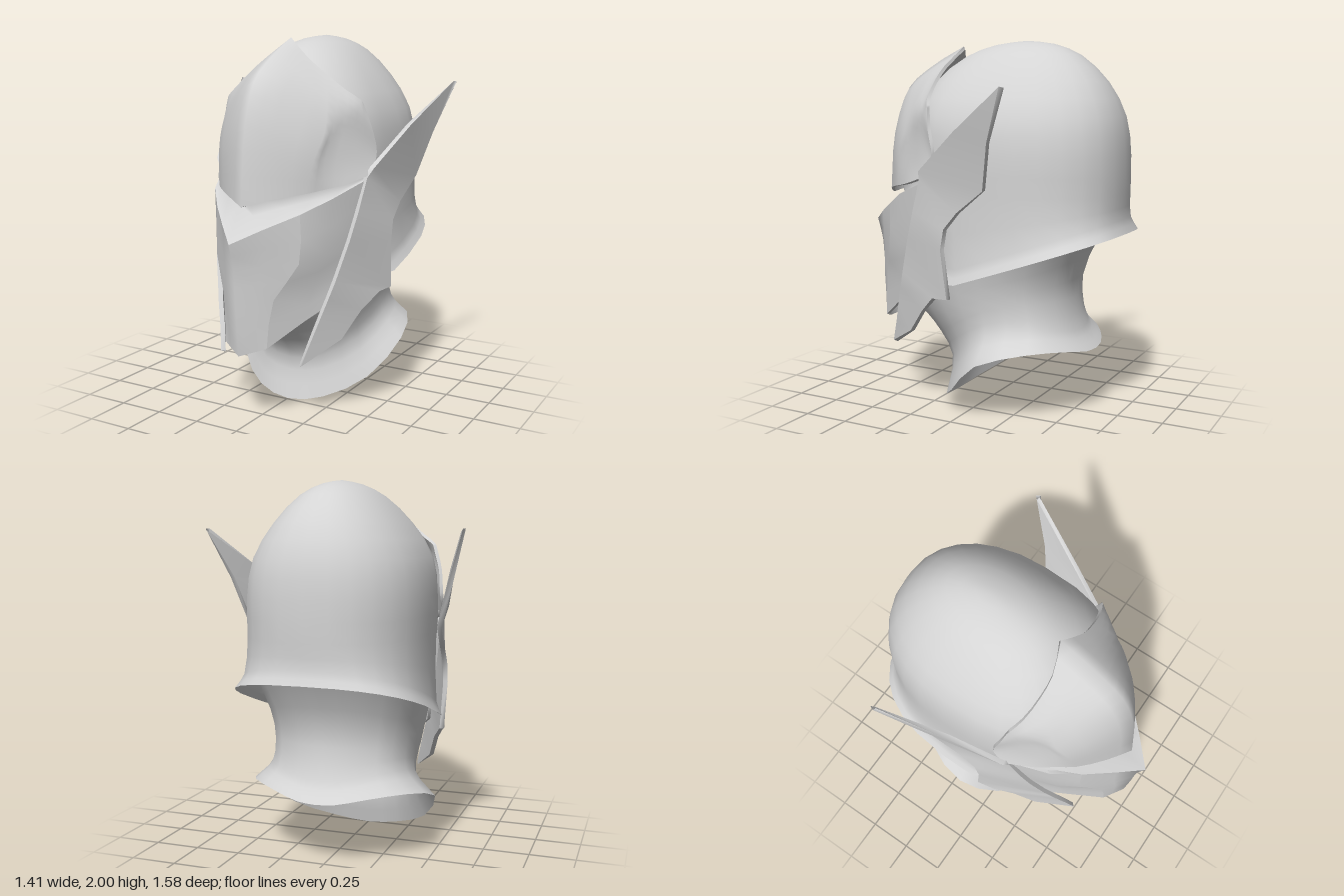
import * as THREE from 'three';
import { mergeVertices } from 'three/addons/utils/BufferGeometryUtils.js';

const V = (p) => new THREE.Vector3(...p);
const mirrored = (cols) => [
  ...cols.slice(1).reverse().map((c) => c.map((p) => new THREE.Vector3(-p.x, p.y, p.z))),
  ...cols,
];
const transpose = (rows) => rows[0].map((_, i) => rows.map((r) => r[i]));

// Resample a line of points as a smooth curve, or keep it as it is for n = 0
function resample(pts, n) {
  if (!n) return pts;
  const curve = new THREE.CatmullRomCurve3(pts);
  const count = (pts.length - 1) * n;
  return Array.from({ length: count + 1 }, (_, i) => curve.getPoint(i / count));
}

// Smooth columns of points along and across
const refine = (cols, n, m) =>
  transpose(transpose(cols.map((c) => resample(c, n))).map((r) => resample(r, m)));

// Indexed surface over a grid of columns
function surface(cols) {
  const rows = cols[0].length, idx = [];
  for (let i = 0; i < cols.length - 1; i++) {
    for (let j = 0; j < rows - 1; j++) {
      const a = i * rows + j, b = a + rows;
      idx.push(a, b, a + 1, b, b + 1, a + 1);
    }
  }
  let g = new THREE.BufferGeometry().setFromPoints(cols.flat());
  g.setIndex(idx);
  g = mergeVertices(g, 1e-4);
  g.computeVertexNormals();
  return g;
}

// Group of a surface, its inner side and the rim that joins them
function plate(name, cols, thick, material) {
  const group = new THREE.Group();
  group.name = name;
  const add = (part, c) => {
    const m = new THREE.Mesh(surface(c), material);
    m.name = part;
    group.add(m);
  };
  add(name + 'Surface', cols);
  if (!thick) return group;
  const at = (i, j) =>
    cols[THREE.MathUtils.clamp(i, 0, cols.length - 1)][THREE.MathUtils.clamp(j, 0, cols[0].length - 1)];
  const inner = cols.map((c, i) => c.map((p, j) => {
    const u = at(i + 1, j).clone().sub(at(i - 1, j));
    const v = at(i, j + 1).clone().sub(at(i, j - 1));
    return p.clone().addScaledVector(u.cross(v).normalize(), -thick);
  }));
  add(name + 'Inside', [...inner].reverse());
  const loop = (c) => [
    ...c.map((k) => k[0]),
    ...c[c.length - 1].slice(1),
    ...c.map((k) => k[k.length - 1]).reverse().slice(1),
    ...[...c[0]].reverse().slice(1),
  ];
  const a = loop(cols), b = loop(inner);
  add(name + 'Rim', a.map((p, i) => [b[i], p]));
  return group;
}

export function createModel() {
  const steel = new THREE.MeshStandardMaterial({ color: 0xd4d4d4, side: THREE.DoubleSide });
  steel.name = 'steel grey';
  const model = new THREE.Group();
  model.name = 'helmet';
  const points = (table) => table.map((r) => r.map(V));

  // Skull: rounded sections of height, half width, back z, front z and the
  // squareness of the back and front halves, flaring at the hem
  const hem = (z) => z < 0.08 ? 0.73 - 0.34 * z
    : THREE.MathUtils.lerp(0.703, 1.08, Math.min(1, (z - 0.08) / 0.22));
  const sections = [
    [0, 0.525, -0.79, 0.38, 2.7, 2.5], [0.08, 0.488, -0.762, 0.38, 2.5, 2.5],
    [1.2, 0.475, -0.765, 0.38, 2.3, 2.8], [1.4, 0.475, -0.765, 0.38, 2.3, 2.8],
    [1.6, 0.443, -0.74, 0.38, 2.25, 2.8], [1.78, 0.335, -0.65, 0.31, 2.2, 2.5],
    [1.92, 0.205, -0.505, 0.15, 2.1, 2.1], [1.98, 0.095, -0.36, -0.02, 2, 2], [2, 0, -0.2, -0.2, 2, 2],
  ];
  const rings = sections.map(([y, w, zb, zf, nb, nf], k) => {
    const ring = [];
    for (let i = 0; i <= 14; i++) {
      const a = (i / 14) * Math.PI, s = Math.sin(a), c = Math.cos(a);
      const e = 2 / (c < 0 ? nb : nf);
      const z = (zb + zf) / 2 + Math.sign(c) * Math.abs(c) ** e * (zf - zb) / 2;
      let x = i === 14 ? 0 : w * s ** e;
      if (k < 2) x *= 1 - 0.6 * Math.max(0, z);
      ring.push(new THREE.Vector3(x, k < 2 ? y + hem(z) : y, z));
    }
    return ring;
  });
  model.add(plate('skull', mirrored(refine(transpose(rings), 2, 0)), 0, steel));

  // Brow: peaked plate with a hollow at each temple, columns from centre to side
  const brow = points([
    [[0, 1.15, 0.68], [0, 1.55, 0.635], [0, 1.76, 0.55], [0, 1.885, 0.38], [0, 1.98, 0.19]],
    [[0.13, 1.185, 0.6], [0.13, 1.5, 0.57], [0.13, 1.7, 0.49], [0.13, 1.81, 0.36], [0.13, 1.875, 0.235]],
    [[0.26, 1.21, 0.49], [0.287, 1.38, 0.455], [0.312, 1.51, 0.39], [0.29, 1.67, 0.325], [0.23, 1.8, 0.235]],
    [[0.32, 1.225, 0.41], [0.315, 1.375, 0.39], [0.335, 1.5, 0.33], [0.37, 1.63, 0.255], [0.34, 1.715, 0.215]],
    [[0.39, 1.245, 0.32], [0.39, 1.36, 0.275], [0.395, 1.49, 0.24], [0.405, 1.6, 0.215], [0.41, 1.665, 0.185]],
    [[0.46, 1.28, 0.2], [0.472, 1.33, 0.155], [0.472, 1.4, 0.12], [0.455, 1.53, 0.15], [0.42, 1.645, 0.175]],
  ]);
  model.add(plate('brow', mirrored(refine(brow, 3, 2)), 0.018, steel));

  // Face mask: keeled plate narrowing to the chin, columns from centre to side
  const mask = points([
    [[0, 0.39, 0.72], [0, 0.65, 0.74], [0, 0.85, 0.755], [0, 0.98, 0.79]],
    [[0.08, 0.415, 0.675], [0.09, 0.67, 0.685], [0.11, 0.86, 0.67], [0.12, 1.045, 0.67]],
    [[0.125, 0.43, 0.65], [0.152, 0.68, 0.625], [0.25, 0.86, 0.54], [0.25, 1.11, 0.53]],
    [[0.25, 0.55, 0.48], [0.28, 0.72, 0.45], [0.33, 0.9, 0.42], [0.36, 1.18, 0.395]],
    [[0.355, 0.64, 0.33], [0.38, 0.8, 0.28], [0.41, 1.0, 0.25], [0.445, 1.255, 0.2]],
  ]);
  // The mouth panel and the cheeks meet at a sharp edge
  const fine = refine(mask, 2, 0);
  const cheek = fine.slice(2);
  model.add(plate('mouthPanel', mirrored(fine.slice(0, 3)), 0.018, steel));
  model.add(plate('leftCheek', cheek, 0.018, steel));
  model.add(plate('rightCheek', mirrored([[], ...cheek]).slice(0, 3), 0.018, steel));

  // Visor ledge: runs back from the mask's upper edge, then up behind the brow
  const fold = points([
    [[0, 1.09, 0.57], [0.13, 1.13, 0.5], [0.25, 1.165, 0.42], [0.36, 1.21, 0.31], [0.44, 1.27, 0.18]],
    [[0, 1.2, 0.6], [0.13, 1.22, 0.53], [0.25, 1.24, 0.44], [0.36, 1.265, 0.32], [0.44, 1.3, 0.17]],
  ]);
  const ledge = mask.map((c, i) => [c[3], fold[0][i], fold[1][i]]);
  model.add(plate('visorLedge', mirrored(ledge), 0, steel));

  // Cheek wings: swept plates between a front and a back edge, bottom to top
  const front = [
    [0.248, 0.32, 0.522], [0.285, 0.45, 0.475], [0.32, 0.57, 0.437], [0.345, 0.66, 0.405], [0.37, 0.75, 0.375],
    [0.415, 0.95, 0.31], [0.44, 1.1, 0.26], [0.46, 1.27, 0.205], [0.49, 1.32, 0.19], [0.58, 1.53, -0.07],
    [0.69, 1.75, -0.385],
  ];
  const rear = [
    [0.252, 0.32, 0.518], [0.38, 0.43, 0.32], [0.435, 0.565, 0.21], [0.495, 0.655, 0.11], [0.515, 0.66, 0.01],
    [0.525, 0.92, 0.04], [0.525, 1.03, 0.02], [0.53, 1.12, -0.06], [0.55, 1.24, -0.22], [0.62, 1.48, -0.28],
    [0.705, 1.75, -0.392],
  ];
  const wing = points([front, rear]);
  model.add(plate('leftWing', wing, 0.025, steel));
  model.add(plate('rightWing', mirrored([[], ...wing]).slice(0, 2), 0.025, steel));

  // Neck: flared collar, half rings from front to back, bottom to top
  const neck = points([
    [[0, 0, 0.24], [0.2, 0.035, 0.2], [0.4, 0.14, 0.05], [0.51, 0.325, -0.15], [0.43, 0.4, -0.41], [0.25, 0.39, -0.55], [0.1, 0.365, -0.61], [0, 0.36, -0.62]],
    [[0, 0.23, 0.2], [0.18, 0.26, 0.17], [0.33, 0.35, 0.03], [0.395, 0.46, -0.15], [0.34, 0.5, -0.38], [0.2, 0.48, -0.49], [0.09, 0.463, -0.53], [0, 0.46, -0.54]],
    [[0, 0.4, 0.33], [0.2, 0.45, 0.28], [0.36, 0.55, 0.1], [0.4, 0.65, -0.12], [0.34, 0.7, -0.35], [0.2, 0.72, -0.46], [0.09, 0.728, -0.495], [0, 0.73, -0.5]],
    [[0, 0.51, 0.58], [0.2, 0.6, 0.45], [0.38, 0.75, 0.2], [0.44, 0.85, -0.12], [0.41, 0.95, -0.4], [0.25, 1.05, -0.59], [0.11, 1.075, -0.65], [0, 1.08, -0.66]],
  ]);
  model.add(plate('neck', refine(mirrored(transpose(neck)), 3, 2), 0, steel));

  return model;
}
